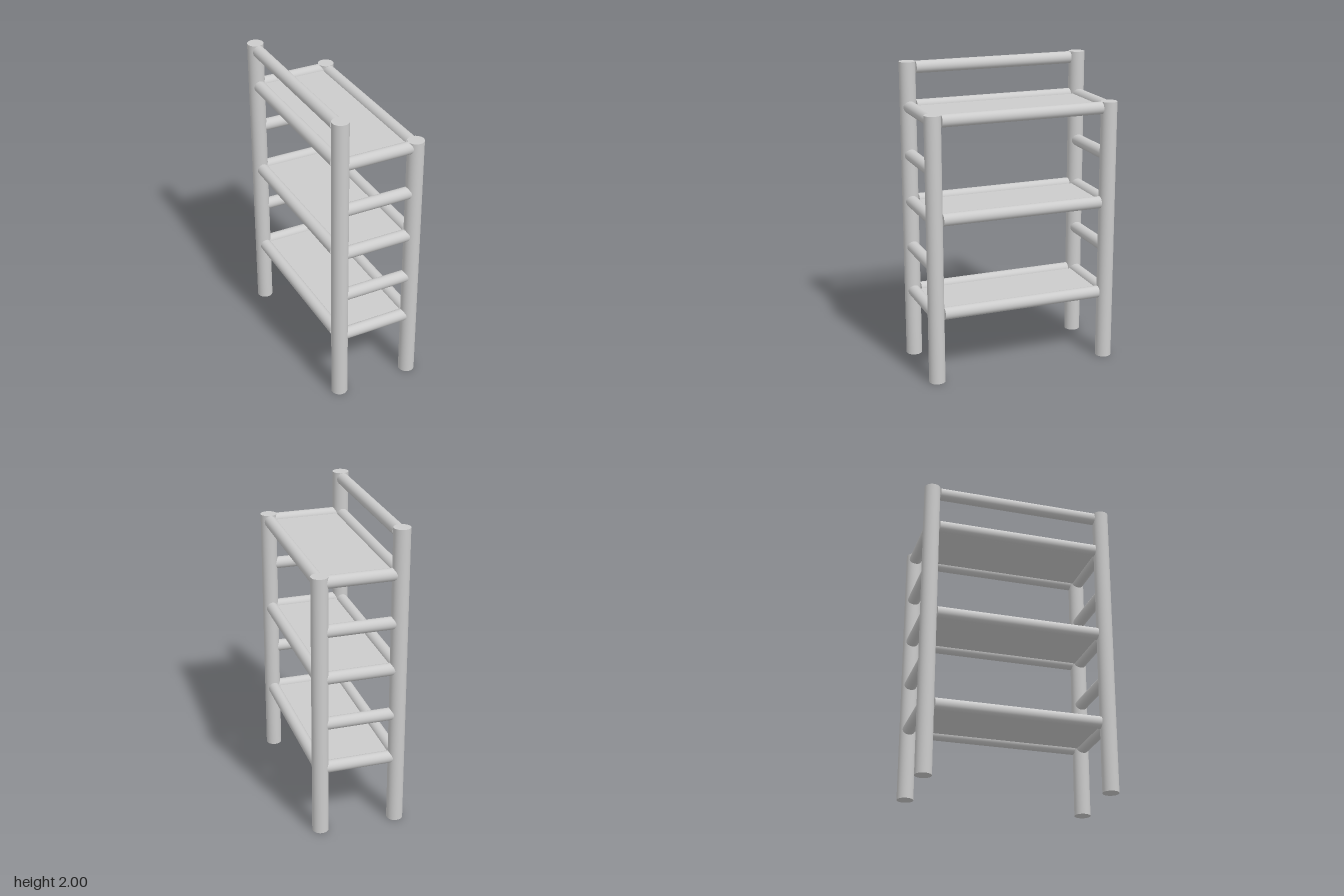
import * as THREE from 'three';

const material = new THREE.MeshStandardMaterial({ color: 0xcccccc });
const POST_X = 0.253, POST_Z = 0.593, POST_R = 0.053, RAIL_R = 0.04;
const SHELF_Y = [0.46, 1.083, 1.71];

function add(group, name, geometry, x, y, z) {
  const mesh = new THREE.Mesh(geometry, material);
  mesh.name = name;
  mesh.position.set(x, y, z);
  group.add(mesh);
  return mesh;
}

// Round bar, standing upright
const bar = (radius, length) => new THREE.CylinderGeometry(radius, radius, length, 40);

export function createModel() {
  const model = new THREE.Group();
  model.name = 'shelfRack';

  // Posts: tall pair on one long side, shorter pair on the other
  for (const sx of [-1, 1]) {
    const height = sx < 0 ? 2 : 1.75;
    for (const sz of [-1, 1]) {
      add(model, sx < 0 ? 'tallPost' : 'shortPost', bar(POST_R, height), sx * POST_X, height / 2, sz * POST_Z);
    }
  }

  // Long rails beside each shelf, plus the raised rail between the tall posts
  const longRail = bar(RAIL_R, 1.08).rotateX(Math.PI / 2);
  for (const y of SHELF_Y) {
    for (const sx of [-1, 1]) add(model, 'longRail', longRail, sx * POST_X, y, 0);
  }
  add(model, 'topRail', longRail, -POST_X, 1.96, 0);

  // Ladder rungs at both ends
  const rung = bar(RAIL_R, 0.44).rotateZ(Math.PI / 2);
  for (const y of [...SHELF_Y, 0.77, 1.395]) {
    for (const sz of [-1, 1]) add(model, 'endRung', rung, 0, y, sz * POST_Z);
  }

  // Shelf boards set between the rails
  const board = new THREE.BoxGeometry(0.43, 0.015, 1.108);
  for (const y of SHELF_Y) add(model, 'shelfBoard', board, 0, y, 0);

  return model;
}
